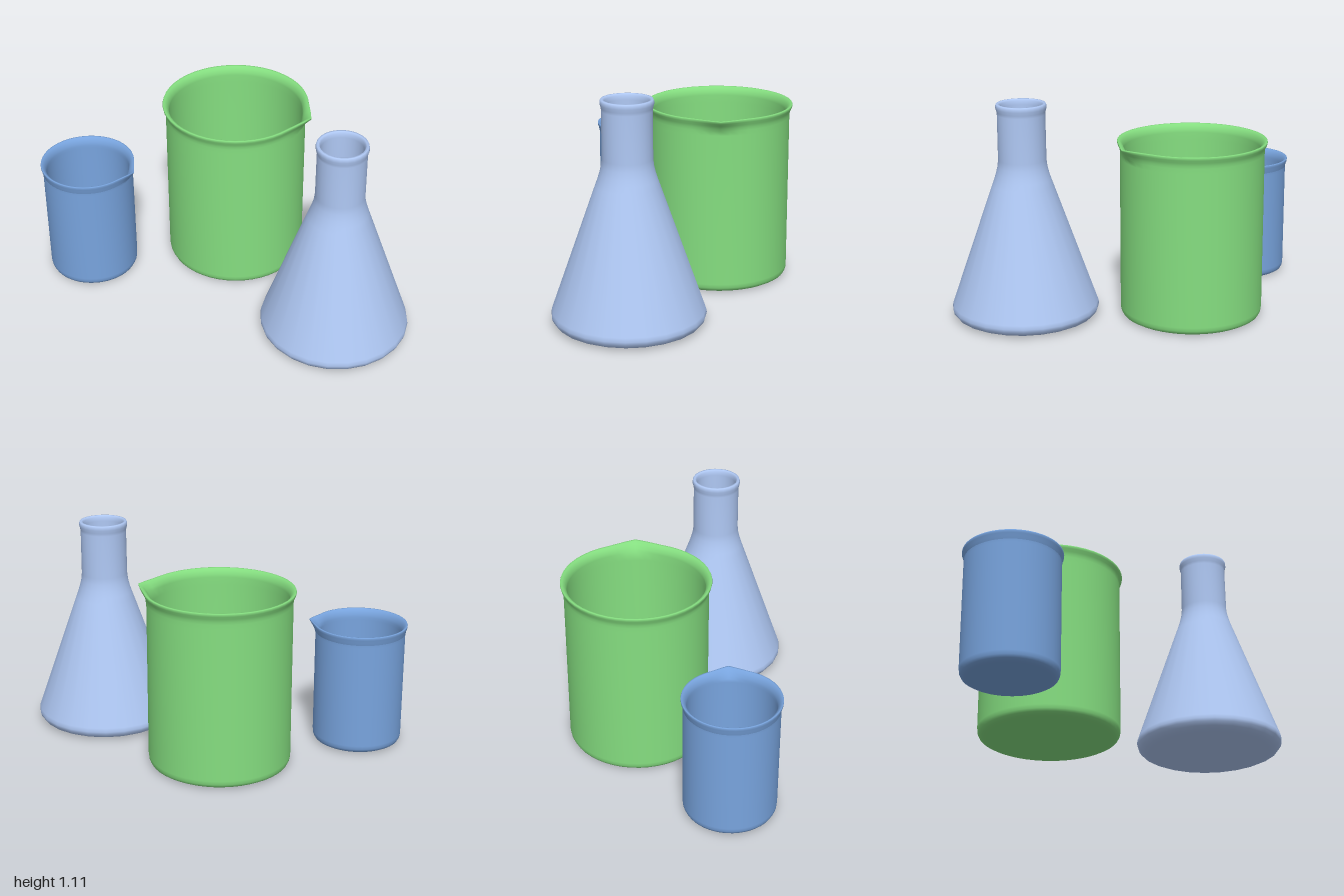
import * as THREE from 'three';
import { mergeVertices } from 'three/addons/utils/BufferGeometryUtils.js';

// Revolve a profile (outer foot up to the rim, then down the inside) into a closed glass shell
function turned(profile, sides, warp) {
  const geo = new THREE.LatheGeometry(profile.map(([r, y]) => new THREE.Vector2(r, y)), sides);
  geo.deleteAttribute('uv');
  geo.deleteAttribute('normal');
  if (warp) warp(geo.attributes.position);
  const welded = mergeVertices(geo, 1e-5);
  welded.computeVertexNormals();
  return welded;
}

function vessel(name, geo, color, x, z) {
  const mesh = new THREE.Mesh(geo, new THREE.MeshStandardMaterial({ color, side: THREE.DoubleSide }));
  mesh.name = name;
  mesh.position.set(x, 0, z);
  return mesh;
}

// Straight beaker with a flared lip and a pouring spout towards +x
function beakerGeometry(r, h, lip, spoutDrop, spoutPush) {
  const t = 0.018;
  const profile = [
    [0, 0], [r - 0.045, 0], [r - 0.025, 0.003], [r - 0.009, 0.012], [r - 0.002, 0.026], [r, 0.045],
    [r, h - spoutDrop], [r, h - spoutDrop * 0.7], [r + 0.001, h - 0.045], [r + lip * 0.35, h - 0.03],
    [r + lip * 0.85, h - 0.016], [r + lip, h - 0.006], [r + lip * 0.85, h],
    [r + lip * 0.2, h - 0.001], [r - t * 0.5, h - 0.012], [r - t * 0.9, h - 0.03], [r - t, h - 0.045],
    [r - t, h - spoutDrop], [r - t, 0.055], [r - t - 0.008, 0.033], [r - t - 0.03, 0.022], [0, 0.02],
  ];
  return turned(profile, 48, (pos) => {
    for (let i = 0; i < pos.count; i++) {
      const x = pos.getX(i), y = pos.getY(i), z = pos.getZ(i);
      const rise = THREE.MathUtils.clamp((y - h + spoutDrop) / spoutDrop, 0, 1);
      const near = Math.max(0, 1 - Math.abs(Math.atan2(z, x)) / 0.4);
      const radius = Math.hypot(x, z);
      if (radius < 1e-6) continue;
      const k = 1 + (spoutPush * rise * Math.pow(near, 1.6)) / radius;
      pos.setXYZ(i, x * k, y, z * k);
    }
  });
}

// Conical flask with a narrow neck and rolled rim
function flaskGeometry() {
  return turned([
    [0, 0], [0.31, 0], [0.335, 0.005], [0.358, 0.016], [0.372, 0.034], [0.376, 0.05], [0.372, 0.07],
    [0.154, 0.69], [0.143, 0.72], [0.133, 0.752], [0.125, 0.785], [0.121, 0.82],
    [0.12, 1.05], [0.122, 1.065], [0.127, 1.082], [0.127, 1.095], [0.123, 1.105],
    [0.113, 1.105], [0.106, 1.095], [0.104, 1.075],
    [0.104, 0.82], [0.109, 0.78], [0.126, 0.72], [0.137, 0.69],
    [0.353, 0.07], [0.352, 0.045], [0.335, 0.027], [0.3, 0.02], [0, 0.02],
  ], 24);
}

export function createModel() {
  const group = new THREE.Group();
  group.name = 'laboratoryGlassware';
  group.add(
    vessel('smallBeaker', beakerGeometry(0.232, 0.645, 0.01, 0.06, 0.028), 0x78a4de, -0.758, 0.217),
    vessel('largeBeaker', beakerGeometry(0.363, 0.915, 0.015, 0.085, 0.041), 0x85de80, -0.107, -0.219),
    vessel('conicalFlask', flaskGeometry(), 0xafc8f4, 0.622, 0.221),
  );
  return group;
}
